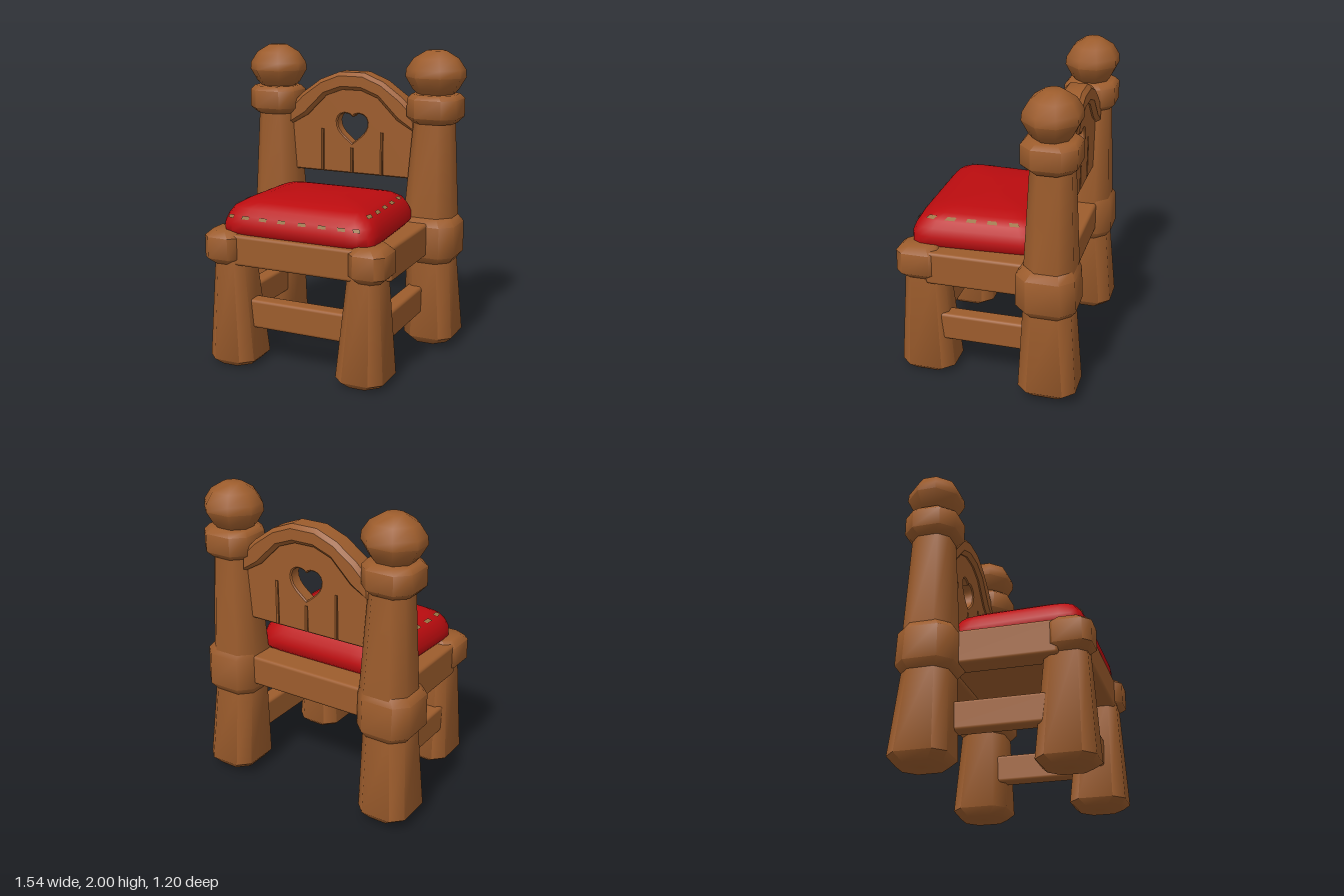
import * as THREE from 'three';
import { toCreasedNormals } from 'three/addons/utils/BufferGeometryUtils.js';
import { RoundedBoxGeometry } from 'three/addons/geometries/RoundedBoxGeometry.js';

// Skin a stack of rings (bottom to top) and close both ends
function loft(rings) {
  const n = rings[0].length, pos = [], idx = [];
  rings.forEach(r => r.forEach(p => pos.push(...p)));
  const cap = (ring, start, top) => {
    const c = [0, 1, 2].map(k => ring.reduce((s, p) => s + p[k], 0) / n);
    const ci = pos.length / 3;
    pos.push(...c);
    for (let i = 0; i < n; i++) {
      const a = start + i, b = start + (i + 1) % n;
      idx.push(ci, top ? a : b, top ? b : a);
    }
  };
  for (let j = 0; j < rings.length - 1; j++) {
    for (let i = 0; i < n; i++) {
      const a = j * n + i, b = j * n + (i + 1) % n;
      idx.push(a, b, b + n, a, b + n, a + n);
    }
  }
  cap(rings[0], 0, false);
  cap(rings[rings.length - 1], (rings.length - 1) * n, true);
  const g = new THREE.BufferGeometry();
  g.setAttribute('position', new THREE.Float32BufferAttribute(pos, 3));
  g.setIndex(idx);
  return toCreasedNormals(g, 0.9);
}

// Square ring with cut corners, mirrored by side
function cutSquare(side, [y, xin, xout, zb, zf, c]) {
  const x0 = Math.min(side * xin, side * xout), x1 = Math.max(side * xin, side * xout);
  return [[x1, zf - c], [x1, zb + c], [x1 - c, zb], [x0 + c, zb],
    [x0, zb + c], [x0, zf - c], [x0 + c, zf], [x1 - c, zf]].map(([x, z]) => [x, y, z]);
}

// Cushion surface: rows of [height, inset]; (a, b) lies on the rim of a unit square
const cushionRows = [[0.87, 0.03], [0.9, 0], [0.95, 0], [1.0, 0.02], [1.045, 0.05],
  [1.08, 0.11], [1.1, 0.2], [1.112, 0.36]];
function cushionPoint(a, b, row, lift = 0) {
  const j = Math.min(Math.floor(row), cushionRows.length - 2), f = row - j;
  const [y, inset] = [0, 1].map(k => THREE.MathUtils.lerp(cushionRows[j][k], cushionRows[j + 1][k], f));
  const k = Math.pow(Math.abs(a) ** 9 + Math.abs(b) ** 9, -1 / 9);
  const z = 0.1 + b * k * (0.44 - inset + lift);
  const x = a * k * (0.53 - inset + lift) * (1 + 0.1 * (z - 0.5));
  return [x, y + lift * 0.7, z];
}

export function createModel() {
  const model = new THREE.Group();
  model.name = 'chair';
  const mat = (name, color, side = THREE.FrontSide) => {
    const m = new THREE.MeshStandardMaterial({ color, side });
    m.name = name;
    return m;
  };
  const wood = mat('wood', 0x9c5c2c);
  const red = mat('red cloth', 0xbb0c0f);
  const thread = mat('tan thread', 0x9a7444, THREE.DoubleSide);
  const add = (name, geo, material = wood) => {
    const m = new THREE.Mesh(geo, material);
    m.name = name;
    model.add(m);
    return m;
  };
  const beam = (name, x0, x1, y0, y1, z0, z1, r = 0.02) =>
    add(name, new RoundedBoxGeometry(x1 - x0, y1 - y0, z1 - z0, 2, r))
      .position.set((x0 + x1) / 2, (y0 + y1) / 2, (z0 + z1) / 2);

  for (const s of [1, -1]) {
    const label = s > 0 ? 'left' : 'right';
    const part = (name, sections) => add(label + name, loft(sections.map(q => cutSquare(s, q))));

    // Front leg and its corner block
    part('FrontLeg', [[0, 0.33, 0.57, 0.28, 0.56, 0.07], [0.04, 0.29, 0.61, 0.24, 0.6, 0.07],
      [0.72, 0.36, 0.57, 0.3, 0.56, 0.05]]);
    part('FrontCorner', [[0.68, 0.41, 0.58, 0.35, 0.56, 0.05], [0.72, 0.38, 0.62, 0.32, 0.6, 0.05],
      [0.86, 0.38, 0.62, 0.32, 0.6, 0.05], [0.9, 0.42, 0.58, 0.35, 0.56, 0.05]]);

    // Back post: foot, collar, shaft, top ring and knob
    part('BackFoot', [[0.03, 0.47, 0.72, -0.56, -0.27, 0.07], [0.08, 0.43, 0.77, -0.6, -0.23, 0.07],
      [0.64, 0.43, 0.73, -0.55, -0.25, 0.07]]);
    part('BackCollar', [[0.6, 0.43, 0.73, -0.55, -0.25, 0.07], [0.65, 0.4, 0.77, -0.585, -0.21, 0.08],
      [0.86, 0.4, 0.77, -0.575, -0.21, 0.08], [0.91, 0.41, 0.73, -0.55, -0.25, 0.07]]);
    part('BackShaft', [[0.88, 0.4, 0.735, -0.56, -0.25, 0.08], [1.56, 0.455, 0.7, -0.53, -0.28, 0.06]]);
    part('BackRing', [[1.53, 0.45, 0.72, -0.53, -0.27, 0.07], [1.57, 0.415, 0.755, -0.57, -0.23, 0.08],
      [1.69, 0.415, 0.755, -0.57, -0.23, 0.08], [1.72, 0.44, 0.73, -0.545, -0.255, 0.08]]);
    const knob = [[1.7, 0.1], [1.75, 0.145], [1.83, 0.19], [1.88, 0.185], [1.95, 0.14], [2, 0.06]];
    part('Knob', knob.map(([y, r]) => [y, 0.58 - r, 0.58 + r, -0.4 - r * 0.88, -0.4 + r * 0.88, r * 0.56]));

    // Side rail and side stretcher
    const rx = [s * 0.44, s * 0.605].sort((a, b) => a - b);
    beam(label + 'SeatRail', ...rx, 0.66, 0.88, -0.35, 0.4);
    const sx = [s * 0.46, s * 0.57].sort((a, b) => a - b);
    beam(label + 'Stretcher', ...sx, 0.25, 0.435, -0.35, 0.36);
  }

  // Seat frame and front stretcher
  beam('frontSeatRail', -0.45, 0.45, 0.68, 0.88, 0.4, 0.555);
  beam('backSeatRail', -0.45, 0.45, 0.68, 0.88, -0.49, -0.3);
  beam('seatBoard', -0.5, 0.5, 0.7, 0.87, -0.4, 0.45);
  beam('frontStretcher', -0.4, 0.4, 0.25, 0.44, 0.37, 0.48);

  // Back panel: planks parted by slits, with a heart cut-out
  const panel = new THREE.Shape();
  panel.moveTo(-0.46, 1.14);
  for (const [x, top] of [[-0.22, 1.43], [0, 1.31], [0.22, 1.43]]) {
    panel.lineTo(x - 0.004, 1.14);
    panel.lineTo(x - 0.002, top);
    panel.lineTo(x + 0.002, top);
    panel.lineTo(x + 0.004, 1.14);
  }
  [[0.46, 1.14], [0.46, 1.5], [0.22, 1.7], [0, 1.76], [-0.22, 1.7], [-0.46, 1.5]]
    .forEach(p => panel.lineTo(...p));
  const heart = new THREE.Path();
  heart.moveTo(0, 1.35);
  heart.bezierCurveTo(0.06, 1.4, 0.115, 1.43, 0.112, 1.5);
  heart.bezierCurveTo(0.105, 1.565, 0.02, 1.565, 0, 1.53);
  heart.bezierCurveTo(-0.02, 1.565, -0.105, 1.565, -0.112, 1.5);
  heart.bezierCurveTo(-0.115, 1.43, -0.06, 1.4, 0, 1.35);
  panel.holes.push(heart);
  const extrude = (shape, depth, bevel) => toCreasedNormals(new THREE.ExtrudeGeometry(shape, {
    depth: depth - 2 * bevel, bevelThickness: bevel, bevelSize: bevel, bevelOffset: -bevel,
    bevelSegments: 1, curveSegments: 6,
  }).translate(0, 0, bevel), 0.6);
  add('backPanel', extrude(panel, 0.09, 0.008)).position.z = -0.455;

  // Arched top rail
  const outer = [[0.47, 1.58], [0.37, 1.68], [0.23, 1.78], [0.09, 1.835]];
  const inner = [[0.07, 1.715], [0.19, 1.67], [0.33, 1.53], [0.47, 1.45]];
  const mirror = list => list.map(([x, y]) => [-x, y]).reverse();
  const arch = new THREE.Shape([...outer, ...mirror(outer), ...mirror(inner), ...inner.slice().reverse()
    .reverse()].length && [...outer, ...mirror(outer), ...mirror(inner), ...inner]
    .map(p => new THREE.Vector2(...p)));
  add('topArch', extrude(arch, 0.16, 0.025)).position.z = -0.49;

  // Cushion
  const rim = [];
  const N = 12;
  [[1, 1, 0, -1], [1, -1, -1, 0], [-1, -1, 0, 1], [-1, 1, 1, 0]].forEach(([a, b, da, db]) => {
    for (let i = 0; i < N; i++) rim.push([a + da * 2 * i / N, b + db * 2 * i / N]);
  });
  add('cushion', loft(cushionRows.map((_, j) => rim.map(([a, b]) => cushionPoint(a, b, j)))), red);

  // Stitches laid on the cushion along the front and both sides
  const stitch = (at, t, half, row) => {
    const quad = [[t - half, row - 0.2], [t + half, row - 0.2], [t + half, row + 0.2], [t - half, row + 0.2]];
    const g = new THREE.BufferGeometry();
    g.setAttribute('position', new THREE.Float32BufferAttribute(
      quad.flatMap(([u, r]) => cushionPoint(...at(u), r, 0.006)), 3));
    g.setIndex([0, 1, 2, 0, 2, 3]);
    g.computeVertexNormals();
    add('stitch', g, thread);
  };
  for (const t of [-0.87, -0.64, -0.4, -0.15, 0.12, 0.38, 0.63, 0.83]) stitch(u => [u, 1], t, 0.05, 2.8);
  for (const s of [1, -1]) {
    for (const t of [-0.62, -0.25, 0.1, 0.45, 0.8]) stitch(u => [s, -u * -1], t, 0.08, 4.3);
  }
  return model;
}
